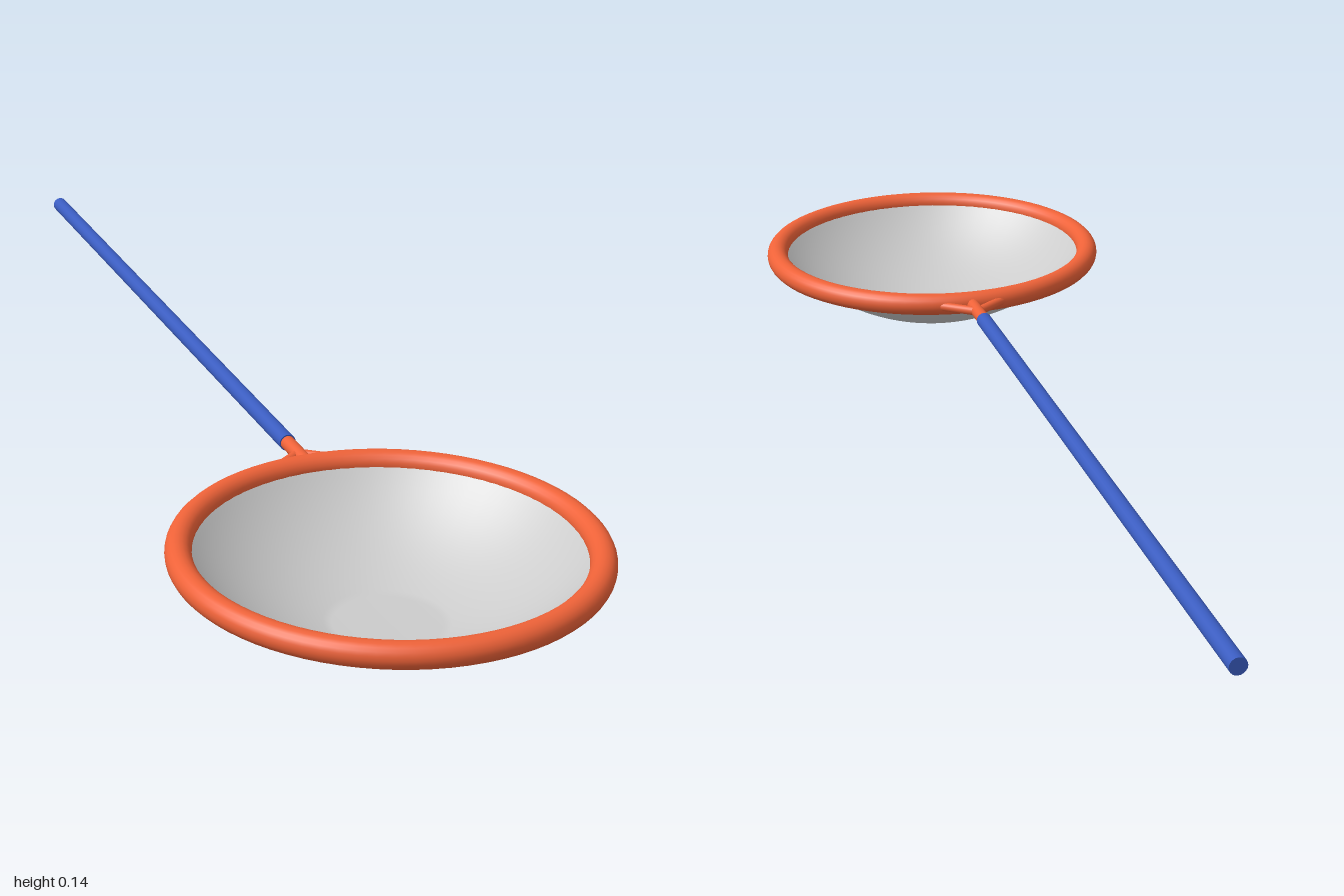
import * as THREE from 'three';

const Y = 0.118;      // height of rim and handle axis
const RIM_Z = 0.68;   // centre of the rim
const RIM_R = 0.301;
const TUBE = 0.0195;

export function createModel() {
  const model = new THREE.Group();
  const orange = new THREE.MeshStandardMaterial({ color: 0xee6238 });
  const blue = new THREE.MeshStandardMaterial({ color: 0x3a5cc0 });
  const grey = new THREE.MeshStandardMaterial({ color: 0xcccccc, side: THREE.DoubleSide });

  const add = (name, geometry, material) => {
    const mesh = new THREE.Mesh(geometry, material);
    mesh.name = name;
    model.add(mesh);
    return mesh;
  };

  // Round bar between two points in the rim plane
  const bar = (name, [x1, z1], [x2, z2], radius, material) => {
    const a = new THREE.Vector3(x1, Y, z1);
    const b = new THREE.Vector3(x2, Y, z2);
    const mesh = add(name, new THREE.CylinderGeometry(radius, radius, a.distanceTo(b), 20), material);
    mesh.position.copy(a).lerp(b, 0.5);
    mesh.quaternion.setFromUnitVectors(new THREE.Vector3(0, 1, 0), b.sub(a).normalize());
  };

  // Hoop
  const rim = add('rim', new THREE.TorusGeometry(RIM_R, TUBE, 20, 80).rotateX(Math.PI / 2), orange);
  rim.position.set(0, Y, RIM_Z);

  // Shallow net: a spherical dish with a flat bottom
  const R = 0.38, flat = 0.08, edge = 0.288;
  const sphereY = (r) => R - Math.sqrt(R * R - r * r);
  const profile = [new THREE.Vector2(0, 0)];
  for (let i = 0; i <= 16; i++) {
    const r = flat + (edge - flat) * i / 16;
    profile.push(new THREE.Vector2(r, sphereY(r) - sphereY(flat)));
  }
  add('net', new THREE.LatheGeometry(profile, 64), grey).position.z = RIM_Z;

  // Socket, side braces and long handle
  bar('socket', [0, 0.375], [0, 0.28], 0.0115, orange);
  for (const s of [-1, 1]) bar('brace', [s * 0.06, 0.375], [0, 0.33], 0.008, orange);
  bar('handle', [0, 0.285], [0, -1], 0.0135, blue);

  return model;
}
